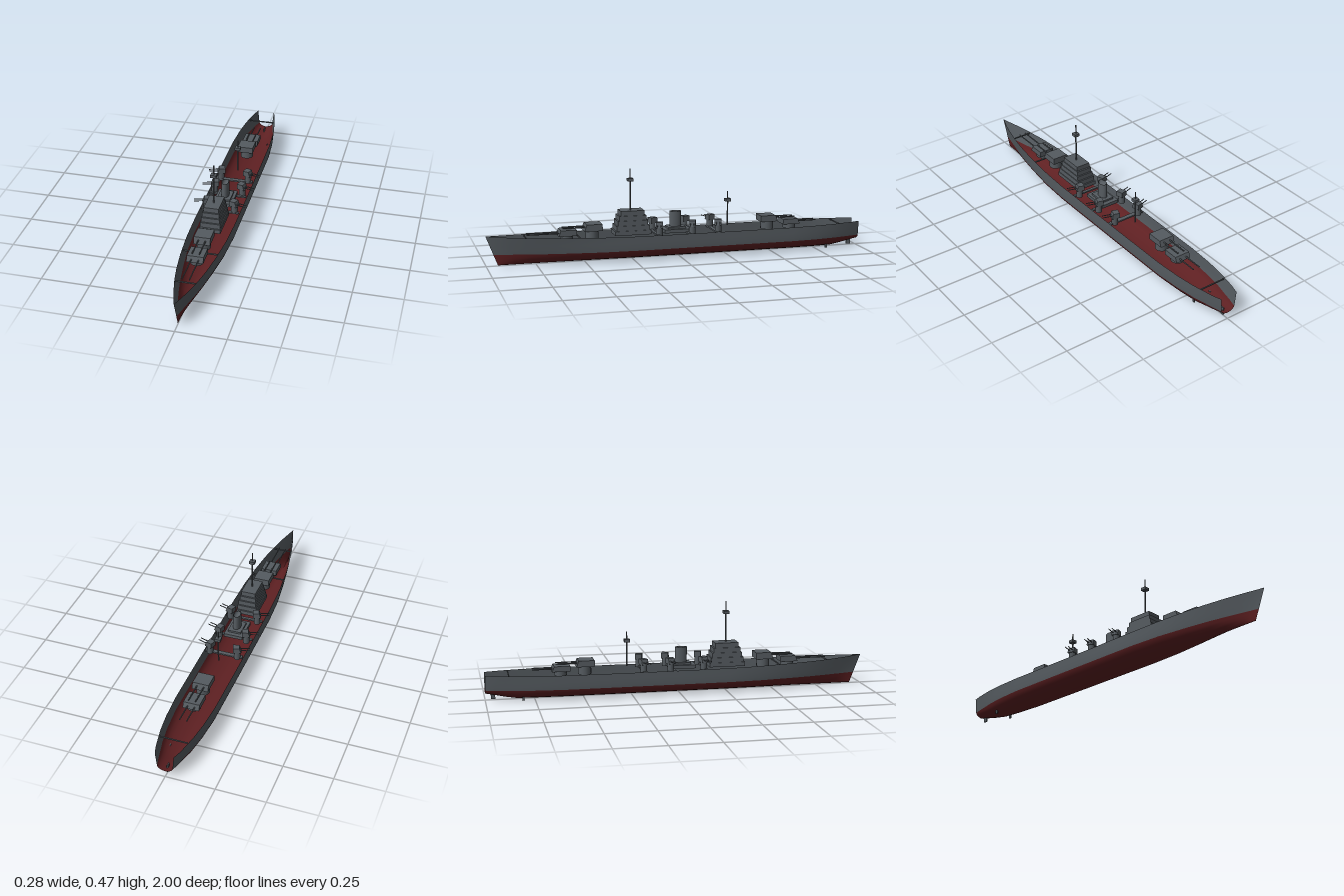
import * as THREE from 'three';

export function createModel() {
  const ship = new THREE.Group();
  ship.name = 'warship';
  const grey = new THREE.MeshStandardMaterial({ color: 0x555b60, side: THREE.DoubleSide });
  grey.name = 'hull grey';
  const red = new THREE.MeshStandardMaterial({ color: 0x5e2022, side: THREE.DoubleSide });
  red.name = 'antifouling red';

  const add = (parent, name, geo, x, y, z, mat = grey) => {
    const m = new THREE.Mesh(geo, mat);
    m.name = name;
    m.position.set(x, y, z);
    parent.add(m);
    return m;
  };
  // box given by its size, resting on height y
  const box = (parent, name, w, h, d, x, y, z) =>
    add(parent, name, new THREE.BoxGeometry(w, h, d), x, y + h / 2, z);
  const post = (parent, name, r, h, x, y, z, sides = 12) =>
    add(parent, name, new THREE.CylinderGeometry(r, r, h, sides), x, y + h / 2, z);

  // Hull stations: z, half width, rim height, keel height, flare
  const stations = [
    [-1, 0.047, 0.136, 0.035, 0.3], [-0.95, 0.062, 0.135, 0.025, 0.25], [-0.9, 0.072, 0.135, 0.014, 0.2],
    [-0.84, 0.084, 0.134, 0.004, 0.12], [-0.74, 0.096, 0.133, 0.003, 0.05], [-0.6, 0.104, 0.132, 0.003, 0],
    [-0.3, 0.105, 0.131, 0.003, 0], [0, 0.105, 0.131, 0.003, 0], [0.25, 0.105, 0.132, 0.003, 0],
    [0.42, 0.1, 0.135, 0.003, 0.06], [0.58, 0.087, 0.139, 0.003, 0.2], [0.7, 0.072, 0.142, 0.003, 0.32],
    [0.8, 0.054, 0.145, 0.003, 0.42], [0.9, 0.03, 0.149, 0.003, 0.5], [0.96, 0.012, 0.152, 0.003, 0.5],
    [1, 0, 0.155, 0.003, 0.5],
  ];
  const WATER = 0.058;
  const point = ([z, w, top, keel, flare], u, y) => {
    const yy = y < WATER ? keel + (y - 0.003) * (WATER - keel) / (WATER - 0.003) : y;
    const x = w * u * (1 - flare * (1 - yy / top));
    const s = THREE.MathUtils.smoothstep(z, 0.65, 1);
    return [x, yy, z - 0.06 * s * (1 - yy / top)];
  };
  // skin stretched over one cross-section profile of [u, y] points
  const skin = (profile) => {
    const pos = [], idx = [];
    stations.forEach((s) => profile(s).forEach(([u, y]) => pos.push(...point(s, u, y))));
    const n = profile(stations[0]).length;
    for (let i = 0; i < stations.length - 1; i++) {
      for (let j = 0; j < n - 1; j++) {
        const a = i * n + j, b = a + n;
        idx.push(a, a + 1, b, a + 1, b + 1, b);
      }
    }
    const g = new THREE.BufferGeometry();
    g.setAttribute('position', new THREE.Float32BufferAttribute(pos, 3));
    g.setIndex(idx);
    g.computeVertexNormals();
    return g;
  };
  const half = [[0.2, 0.006], [0.42, 0.011], [0.65, 0.019], [0.82, 0.03], [0.93, 0.043], [0.985, WATER]];
  const bottom = [...half.map(([u, y]) => [-u, y]).reverse(), [0, 0.003], ...half];
  add(ship, 'lowerHull', skin(() => bottom), 0, 0, 0, red);
  const side = (s) => [[0.985, WATER], [1, 0.075], [1, 0.1], [1, s[2]]];
  add(ship, 'leftHullSide', skin(side), 0, 0, 0);
  add(ship, 'rightHullSide', skin((s) => side(s).map(([u, y]) => [-u, y]).reverse()), 0, 0, 0);

  // Cross beams inside the open hull
  box(ship, 'aftBeam', 0.2, 0.008, 0.022, 0, 0.124, -0.19);
  box(ship, 'midBeam', 0.2, 0.008, 0.015, 0, 0.124, -0.035);
  box(ship, 'towerBeam', 0.2, 0.008, 0.015, 0, 0.124, 0.13);
  box(ship, 'foreBeam', 0.18, 0.006, 0.006, 0, 0.128, 0.53);
  box(ship, 'bowBeam', 0.1, 0.006, 0.005, 0, 0.136, 0.8);
  box(ship, 'sternBeam', 0.14, 0.006, 0.005, 0, 0.126, -0.88);

  // Stepped bridge tower
  const tower = new THREE.Group();
  tower.name = 'bridgeTower';
  ship.add(tower);
  const tiers = [[0.055, 0.095, 0.13, 0.152], [0.052, 0.087, 0.152, 0.178], [0.048, 0.079, 0.178, 0.203],
    [0.044, 0.071, 0.203, 0.228], [0.039, 0.062, 0.228, 0.253]];
  tiers.forEach(([w, d, y0, y1], i) => box(tower, 'tier' + (i + 1), w * 2, y1 - y0, d * 2, 0, y0, 0.252));

  // Masts with lookout platforms
  const mast = (name, z, y0, joint, top, platform) => {
    const g = new THREE.Group();
    g.name = name;
    ship.add(g);
    post(g, 'lowerPole', 0.004, joint - y0, 0, y0, z, 8);
    post(g, 'upperPole', 0.0028, top - joint, 0, joint, z, 8);
    box(g, 'platform', 0.029, 0.015, 0.029, 0, platform, z);
  };
  mast('foreMast', 0.255, 0.25, 0.41, 0.466, 0.402);
  mast('aftMast', -0.27, 0.145, 0.28, 0.325, 0.272);

  // Funnel on its deckhouse
  box(ship, 'funnelHouse', 0.1, 0.018, 0.14, 0, 0.128, 0.015);
  box(ship, 'funnelPlinth', 0.07, 0.01, 0.095, 0, 0.146, 0.015);
  const funnel = new THREE.Group();
  funnel.name = 'funnel';
  funnel.position.set(0, 0, 0.015);
  funnel.scale.set(0.02, 1, 0.031);
  ship.add(funnel);
  const wall = [[1, 0.15], [1, 0.235], [0.85, 0.235], [0.85, 0.215], [0, 0.215]];
  add(funnel, 'funnelPipe', new THREE.LatheGeometry(wall.map((p) => new THREE.Vector2(...p)), 24), 0, 0, 0);

  // Gun house with a sloped front, facing +z
  const gunHouse = (w, h, d, slope) => {
    const g = new THREE.BoxGeometry(w, h, d).toNonIndexed();
    const p = g.attributes.position;
    for (let i = 0; i < p.count; i++) {
      if (p.getY(i) > 0 && p.getZ(i) > 0) p.setZ(i, p.getZ(i) - slope);
    }
    g.computeVertexNormals();
    return g;
  };
  const barrel = (parent, x, y, z, length, r) => {
    const m = add(parent, 'barrel', new THREE.CylinderGeometry(r * 0.8, r, length, 8), x, y, z + length / 2);
    m.rotation.x = Math.PI / 2;
  };

  // Main turrets: z, base height, top height, facing, barrel height, barrel length
  [['foreTurret', 0.59, 0.14, 0.17, 0, 0.153, 0.17], ['upperForeTurret', 0.457, 0.158, 0.193, 0, 0.177, 0.12],
    ['upperAftTurret', -0.49, 0.158, 0.19, Math.PI, 0.175, 0.115],
    ['aftTurret', -0.615, 0.138, 0.166, Math.PI, 0.15, 0.11]].forEach(([name, z, y0, y1, turn, by, len]) => {
    const t = new THREE.Group();
    t.name = name;
    t.position.z = z;
    t.rotation.y = turn;
    ship.add(t);
    post(t, 'barbette', 0.034, y0 - 0.115, 0, 0.115, 0, 16);
    add(t, 'gunHouse', gunHouse(0.084, y1 - y0, 0.094, 0.012), 0, (y0 + y1) / 2, 0);
    [-0.018, 0.018].forEach((x) => barrel(t, x, by, 0.035, len, 0.0038));
  });

  // Secondary twin mounts along both sides, trained slightly forward
  [0.12, -0.055, -0.195].forEach((z) => [1, -1].forEach((s) => {
    const t = new THREE.Group();
    t.name = s > 0 ? 'leftSideMount' : 'rightSideMount';
    t.position.set(s * 0.074, 0, z);
    t.rotation.y = s * (Math.PI / 2 - 0.3);
    ship.add(t);
    post(t, 'pedestal', 0.017, 0.045, 0, 0.122, 0);
    add(t, 'gunHouse', gunHouse(0.036, 0.029, 0.042, 0.01), 0, 0.179, 0);
    [-0.009, 0.009].forEach((x) => barrel(t, x, 0.178, 0.012, 0.053, 0.0026));
  }));

  // Rudder and shaft struts
  box(ship, 'rudder', 0.006, 0.04, 0.022, 0, 0.004, -0.96);
  [-0.05, 0.05].forEach((x) => box(ship, 'shaftStrut', 0.005, 0.022, 0.012, x, 0, -0.81));

  return ship;
}
